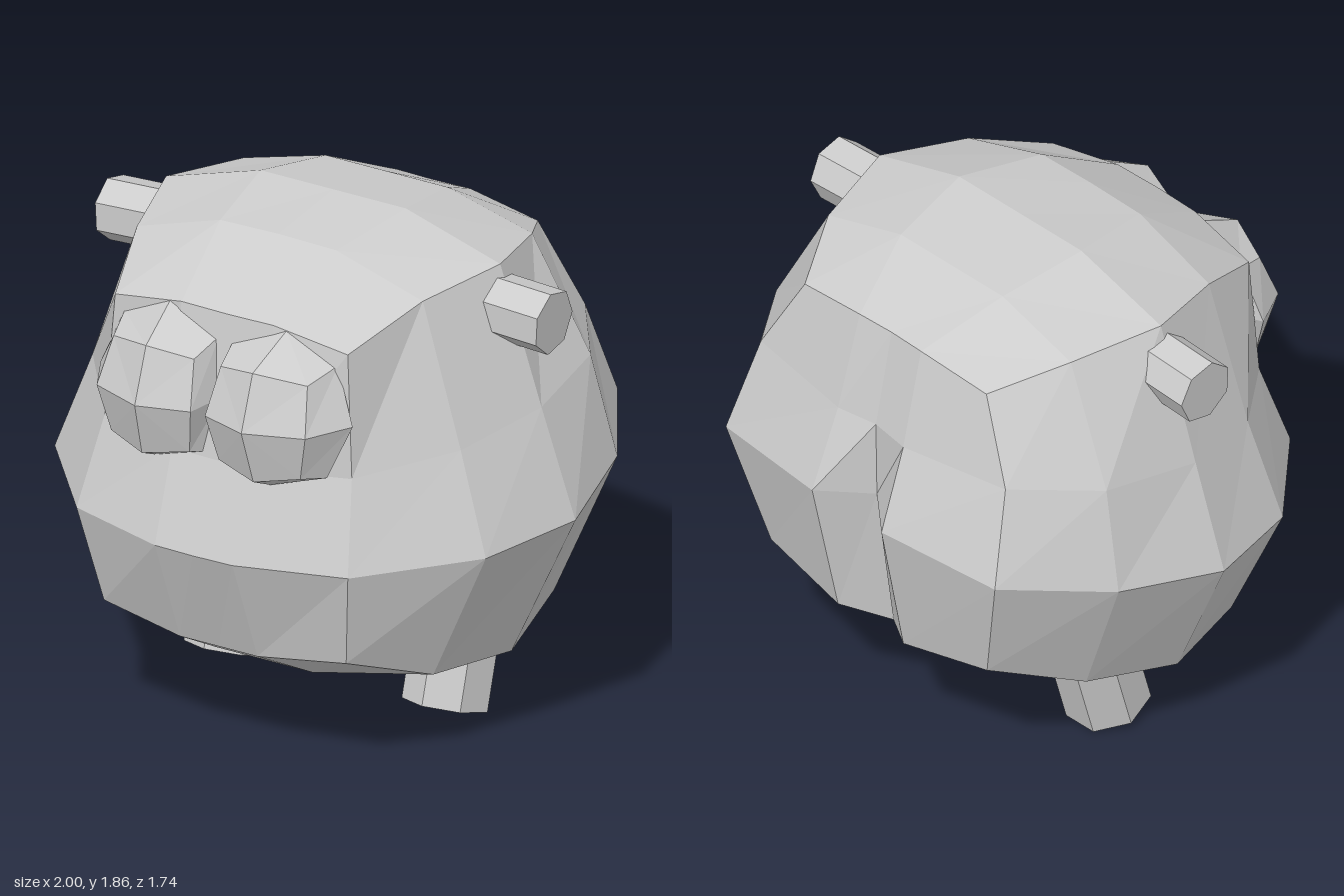
import * as THREE from 'three';

const material = new THREE.MeshStandardMaterial({ color: 0xcccccc, flatShading: true });

// Flat-shaded geometry from polygons (lists of [x, y, z] corners), fanned into triangles
function polyGeometry(polygons) {
  const out = [];
  for (const p of polygons)
    for (let i = 1; i < p.length - 1; i++) out.push(...p[0], ...p[i], ...p[i + 1]);
  const g = new THREE.BufferGeometry();
  g.setAttribute('position', new THREE.Float32BufferAttribute(out, 3));
  g.computeVertexNormals();
  return g;
}

const mirror = (polygons) =>
  polygons.map((p) => p.map(([x, y, z]) => [-x, y, z]).reverse());

function addMesh(group, name, geometry) {
  const mesh = new THREE.Mesh(geometry, material);
  mesh.name = name;
  group.add(mesh);
  return mesh;
}

// Half rings of the body from front centre, around the left side, to the rear cleft
const lowRing = [
  [0, 0.415, 0.68], [0.16, 0.415, 0.68], [0.5, 0.455, 0.64], [0.66, 0.345, 0.34], [0.75, 0.33, -0.01],
  [0.68, 0.41, -0.38], [0.53, 0.55, -0.71], [0.16, 0.49, -0.75], [0, 0.45, -0.64],
];
const bellyRing = [
  [0, 0.81, 0.84], [0.16, 0.81, 0.835], [0.56, 0.815, 0.72], [0.89, 0.84, 0.36], [1, 0.87, -0.03],
  [0.9, 0.94, -0.44], [0.66, 1.01, -0.8], [0.17, 1.03, -0.865], [0, 1.03, -0.72],
];
const chestRing = [
  [0, 1.13, 0.72], [0.17, 1.13, 0.715], [0.51, 1.14, 0.62], [0.76, 1.2, 0.32], [0.86, 1.26, -0.03],
  [0.81, 1.31, -0.41], [0.6, 1.35, -0.69], [0.16, 1.33, -0.75], [0, 1.33, -0.725],
];
const browRing = [
  [0, 1.64, 0.63], [0.19, 1.64, 0.625], [0.48, 1.59, 0.6], [0.59, 1.71, 0.3], [0.69, 1.755, -0.03],
  [0.595, 1.725, -0.37], [0.445, 1.645, -0.63], [0.15, 1.685, -0.655], [0, 1.685, -0.65],
];

// Inner points of the caps: rows front to back, each from the centre outwards
const crown = [
  [[0, 1.825, 0.31], [0.24, 1.82, 0.31]],
  [[0, 1.87, -0.03], [0.3, 1.87, -0.03]],
  [[0, 1.82, -0.36], [0.25, 1.82, -0.36]],
];
const underside = [
  [[0, 0.265, 0.4], [0.2, 0.265, 0.4]],
  [[0, 0.215, 0.12], [0.2, 0.215, 0.1]],
  [[0, 0.33, -0.35], [0.2, 0.29, -0.36]],
];

function capPolygons(ring, inner, flip) {
  const rows = [
    [ring[0], ring[1], ring[2]],
    ...inner.map((row, i) => [...row, ring[3 + i]]),
    [ring[8], ring[7], ring[6]],
  ];
  const polys = [];
  for (let r = 0; r < 4; r++)
    for (let c = 0; c < 2; c++) {
      const quad = [rows[r][c], rows[r][c + 1], rows[r + 1][c + 1], rows[r + 1][c]];
      polys.push(flip ? quad.reverse() : quad);
    }
  return polys;
}

function bodyGeometry() {
  const rings = [lowRing, bellyRing, chestRing, browRing];
  const half = [...capPolygons(browRing, crown, false), ...capPolygons(lowRing, underside, true)];
  for (let k = 0; k < 3; k++)
    for (let i = 0; i < 8; i++)
      half.push([rings[k][i], rings[k][i + 1], rings[k + 1][i + 1], rings[k + 1][i]]);
  return polyGeometry([...half, ...mirror(half)]);
}

// Bulging eye: faceted front dome, rim and a back closed inside the head
function eyePolygons() {
  const front = [
    [0.43, 1.33, 0.79], [0.4, 1.5, 0.73], [0.22, 1.53, 0.8], [0.055, 1.5, 0.75],
    [0.03, 1.33, 0.81], [0.06, 1.16, 0.77], [0.23, 1.13, 0.81], [0.39, 1.16, 0.76],
  ];
  const rim = [
    [0.52, 1.34, 0.63], [0.44, 1.54, 0.6], [0.24, 1.63, 0.62], [0.03, 1.55, 0.63],
    [0, 1.34, 0.66], [0.04, 1.145, 0.71], [0.24, 1.09, 0.72], [0.44, 1.145, 0.67],
  ];
  const tip = [0.22, 1.33, 0.87], back = [0.24, 1.35, 0.5];
  const polys = [];
  for (let i = 0; i < 8; i++) {
    const j = (i + 1) % 8;
    polys.push([tip, front[i], front[j]], [front[i], rim[i], rim[j], front[j]], [back, rim[j], rim[i]]);
  }
  return polys;
}

export function createModel() {
  const model = new THREE.Group();
  model.name = 'creature';
  addMesh(model, 'body', bodyGeometry());

  const eye = eyePolygons();
  const legGeometry = new THREE.CylinderGeometry(0.154, 0.154, 0.31, 7);
  const earGeometry = new THREE.CylinderGeometry(0.117, 0.117, 0.24, 7, 1, false, Math.PI);

  for (const [side, s] of [['left', 1], ['right', -1]]) {
    addMesh(model, side + 'Eye', polyGeometry(s > 0 ? eye : mirror(eye)));

    // Stubby leg, leaning back towards the body
    const leg = addMesh(model, side + 'Leg', legGeometry);
    leg.position.set(s * 0.45, 0.195, -0.095);
    leg.rotation.x = -0.28;

    // Ear peg, drooping slightly outwards
    const ear = addMesh(model, side + 'Ear', earGeometry);
    ear.position.set(s * 0.79, 1.595, -0.03);
    ear.rotation.z = -s * (Math.PI / 2 + 0.05);
  }
  return model;
}
